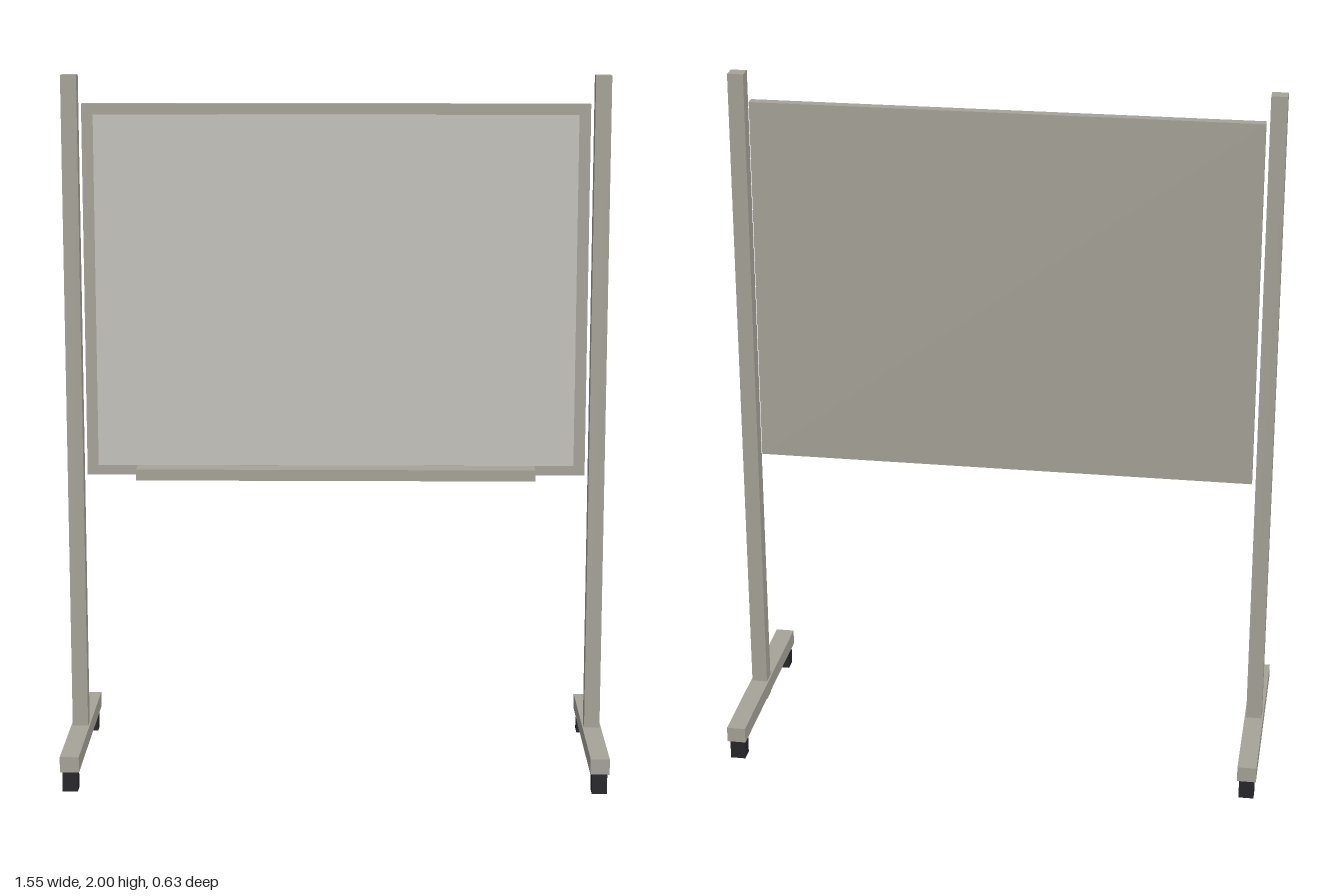
import * as THREE from 'three';

const material = (name, color) => {
  const m = new THREE.MeshStandardMaterial({ color });
  m.name = name;
  return m;
};

export function createModel() {
  const metal = material('warm grey metal', 0xa6a399);
  const white = material('pale writing surface', 0xc4c2bc);
  const rubber = material('dark rubber', 0x26262c);
  const model = new THREE.Group();
  model.name = 'mobileBoard';

  // Box given by its lowest and highest corners
  const box = (name, mat, [x0, y0, z0], [x1, y1, z1], parent = model) => {
    const mesh = new THREE.Mesh(new THREE.BoxGeometry(x1 - x0, y1 - y0, z1 - z0), mat);
    mesh.position.set((x0 + x1) / 2, (y0 + y1) / 2, (z0 + z1) / 2);
    mesh.name = name;
    parent.add(mesh);
  };

  // Board with its raised writing surface and pen tray
  box('boardFrame', metal, [-0.715, 0.857, -0.016], [0.715, 1.92, 0.014]);
  box('writingSurface', white, [-0.682, 0.887, 0.006], [0.682, 1.89, 0.022]);
  box('penTray', metal, [-0.57, 0.853, 0.014], [0.57, 0.885, 0.077]);

  // Mirrored stands: post, foot bar and two casters
  for (const side of [-1, 1]) {
    const stand = new THREE.Group();
    stand.name = side > 0 ? 'leftStand' : 'rightStand';
    stand.position.x = side * 0.749;
    box('post', metal, [-0.0225, 0.046, -0.0225], [0.0225, 2, 0.0225], stand);
    box('footBar', metal, [-0.027, 0.06, -0.317], [0.027, 0.105, 0.317], stand);
    for (const z of [-0.285, 0.285]) {
      box('caster', rubber, [-0.0215, 0, z - 0.0215], [0.0215, 0.062, z + 0.0215], stand);
    }
    model.add(stand);
  }
  return model;
}
